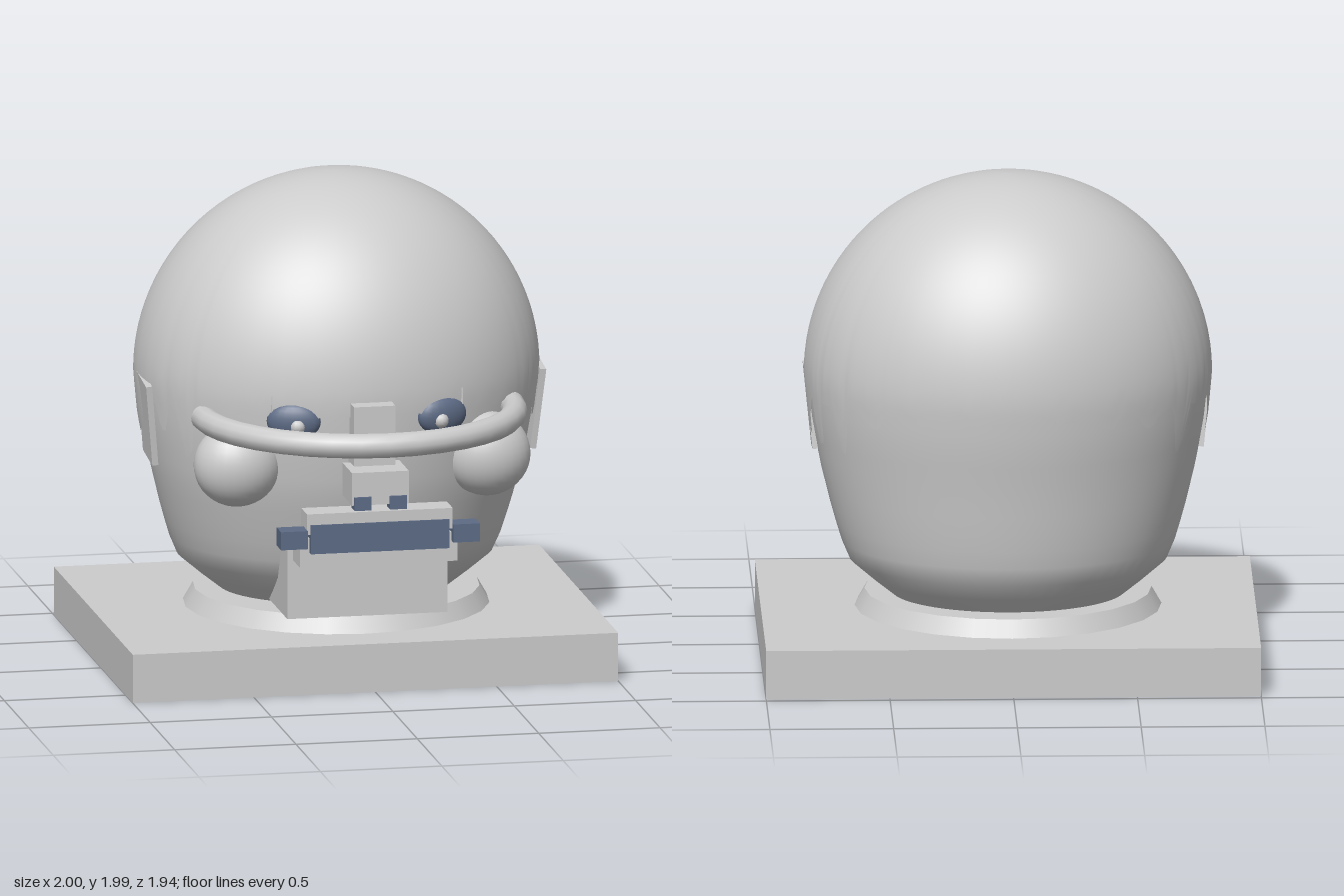
import * as THREE from 'three';

const grey = new THREE.MeshStandardMaterial({ color: 0xcccccc });
const thin = new THREE.MeshStandardMaterial({ color: 0xcccccc, side: THREE.DoubleSide });
const dark = new THREE.MeshStandardMaterial({ color: 0x5d6b85 });

const TOP = 1.975, WIDE = 1.165;
// skull half-width by height, below the widest level
const profile = [[0.26, 0.46], [0.28, 0.49], [0.42, 0.655], [0.6, 0.71], [0.8, 0.76], [1.0, 0.795], [WIDE, 0.81]];

function radius(y) {
  if (y >= WIDE) {
    const t = (y - WIDE) / (TOP - WIDE);
    return 0.81 * Math.sqrt(Math.max(0, 1 - t * t));
  }
  let i = 1;
  while (profile[i][0] < y) i++;
  const [y0, r0] = profile[i - 1], [y1, r1] = profile[i];
  return r0 + (r1 - r0) * (y - y0) / (y1 - y0);
}

// closed-on-top skull surface from a lower edge, angle 0 at the front
function skull(edge, scale, lift, cols, rows) {
  const pos = [], index = [];
  for (let j = 0; j <= rows; j++) {
    for (let i = 0; i < cols; i++) {
      const a = (i / cols) * Math.PI * 2, low = edge(a);
      const y = low + (TOP - low) * Math.sin((j / rows) * Math.PI / 2);
      const r = radius(y) * scale;
      const zc = -0.157 - 0.045 * Math.max(0, (0.8 - y) / 0.52);
      pos.push(r * Math.sin(a), y + lift * (y - 1) / (TOP - 1), zc + 0.868 * r * Math.cos(a));
      const n = (i + 1) % cols, p = j * cols + i, q = j * cols + n;
      if (j < rows) index.push(p, q, q + cols, p, q + cols, p + cols);
    }
  }
  const g = new THREE.BufferGeometry();
  g.setAttribute('position', new THREE.Float32BufferAttribute(pos, 3));
  g.setIndex(index);
  g.computeVertexNormals();
  return g;
}

// hairline: shallow waves, with pointed locks [angle, half-width, depth] on each side
const locks = [[24, 5, 0.03], [59, 5, 0.19], [70, 4, 0.1], [92, 11, 0.17], [108, 4.5, 0.18],
  [122, 4.5, 0.18], [137, 4, 0.06], [152, 6, 0.03], [170, 6, 0.02]];
function hairline(a) {
  let d = THREE.MathUtils.radToDeg(a);
  if (d > 180) d = 360 - d;
  let y = 1.13 - 0.03 * Math.min(1, d / 60) + 0.008 * Math.sin(d * 0.7);
  for (const [c, w, depth] of locks) {
    y -= depth * Math.min(1, 1.5 * Math.max(0, 1 - Math.abs(d - c) / w));
  }
  return y;
}

export function createModel() {
  const model = new THREE.Group();
  const add = (name, geometry, material, x = 0, y = 0, z = 0) => {
    const m = new THREE.Mesh(geometry, material);
    m.name = name;
    m.position.set(x, y, z);
    model.add(m);
    return m;
  };
  // box from its low and high corners
  const block = (name, material, [x0, y0, z0], [x1, y1, z1]) =>
    add(name, new THREE.BoxGeometry(x1 - x0, y1 - y0, z1 - z0), material,
      (x0 + x1) / 2, (y0 + y1) / 2, (z0 + z1) / 2);

  // stand
  block('base', grey, [-1, 0, -0.97], [1, 0.2, 0.645]);
  add('collar', new THREE.CylinderGeometry(0.58, 0.62, 0.07, 24), grey, 0, 0.235, -0.16);

  // head and hair
  add('head', skull(() => 0.26, 1, 0, 64, 36), grey);
  add('hair', skull(hairline, 1.018, 0.012, 240, 28), thin);

  // chin, nose and mouth blocks
  block('chin', grey, [-0.33, 0.28, 0.05], [0.33, 0.59, 0.48]);
  block('noseBridge', grey, [-0.085, 0.9, 0.5], [0.085, 1.18, 0.63]);
  block('nose', grey, [-0.117, 0.8, 0.55], [0.117, 0.935, 0.745]);
  block('upperLip', grey, [-0.3, 0.685, 0.615], [0.3, 0.77, 0.735]);
  block('lowerLip', grey, [-0.325, 0.545, 0.575], [0.325, 0.665, 0.71]);
  block('mouth', dark, [-0.285, 0.605, 0.65], [0.285, 0.725, 0.74]);

  // visor ring: half torus with rounded ends
  const ring = add('visorRing', new THREE.TorusGeometry(0.635, 0.051, 12, 18, Math.PI), grey, 0, 1.083, 0.28);
  ring.rotation.x = Math.PI / 2;

  for (const s of [-1, 1]) {
    const side = s > 0 ? 'left' : 'right';
    add(side + 'RingEnd', new THREE.SphereGeometry(0.051, 12, 10), grey, s * 0.635, 1.083, 0.28);

    const cheek = add(side + 'Cheek', new THREE.SphereGeometry(1, 28, 20), grey, s * 0.515, 0.905, 0.37);
    cheek.scale.set(0.177, 0.172, 0.147);

    const eye = add(side + 'Eye', new THREE.SphereGeometry(1, 20, 14), dark, s * 0.305, 1.1, 0.487);
    eye.scale.set(0.11, 0.078, 0.045);
    eye.rotation.y = s * 0.3;
    add(side + 'Pupil', new THREE.SphereGeometry(0.032, 12, 10), grey, s * 0.295, 1.085, 0.52);

    const brow = add(side + 'Brow', new THREE.BoxGeometry(0.17, 0.09, 0.012), grey, s * 0.31, 1.16, 0.468);
    brow.rotation.x = -0.03;

    add(side + 'Nostril', new THREE.BoxGeometry(0.07, 0.055, 0.06), dark, s * 0.073, 0.807, 0.725);
    add(side + 'MouthCorner', new THREE.BoxGeometry(0.11, 0.075, 0.09), dark, s * 0.355, 0.667, 0.705);

    const ear = add(side + 'EarPlate', new THREE.BoxGeometry(0.025, 0.34, 0.195), grey, s * 0.795, 1.01, -0.07);
    ear.rotation.set(0.12, 0, -s * 0.1);
  }
  return model;
}
